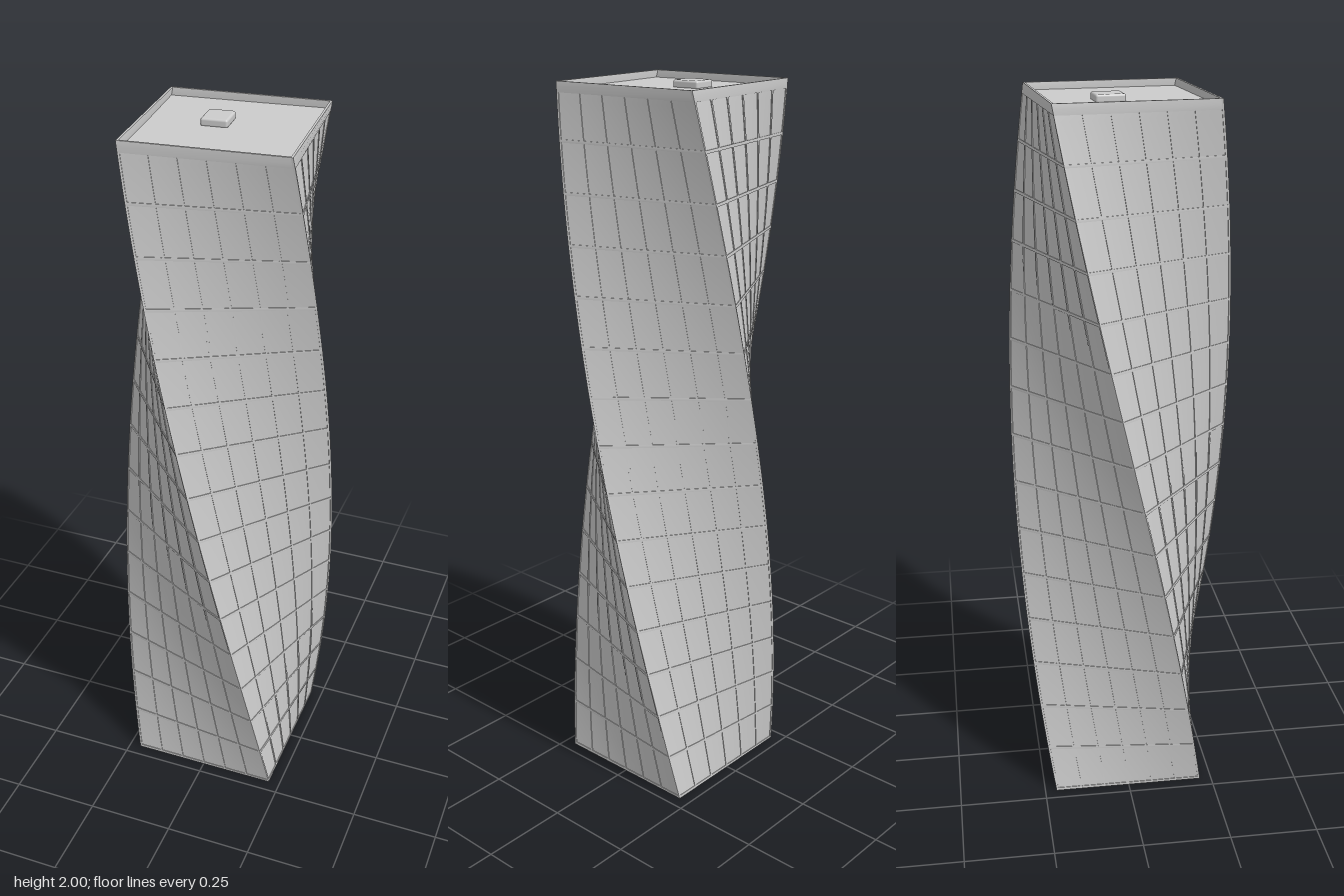
import * as THREE from 'three';
import { RoundedBoxGeometry } from 'three/addons/geometries/RoundedBoxGeometry.js';

const HEIGHT = 2;
const ROOF = 1.98;
const TWIST = THREE.MathUtils.degToRad(85);
const WALL = 0.2145; // half width of the wall
const OUTER = 0.2165; // half width over ribs and floor bands
const FLOORS = 15;
const PANELS = 6;

const material = new THREE.MeshStandardMaterial({ color: 0xcccccc });

// Turns every vertex about the vertical axis in proportion to its height
function twist(geometry) {
  const p = geometry.attributes.position;
  for (let i = 0; i < p.count; i++) {
    const x = p.getX(i), z = p.getZ(i);
    const a = TWIST * p.getY(i) / HEIGHT;
    p.setX(i, x * Math.cos(a) - z * Math.sin(a));
    p.setZ(i, x * Math.sin(a) + z * Math.cos(a));
  }
  geometry.computeVertexNormals();
  return geometry;
}

function twistedBox(name, [w, h, d], [x, y, z], rows = 1, columns = 1, turn = 0) {
  const geometry = new THREE.BoxGeometry(w, h, d, columns, rows, columns);
  geometry.translate(x, y, z).rotateY(turn);
  const mesh = new THREE.Mesh(twist(geometry), material);
  mesh.name = name;
  return mesh;
}

export function createModel() {
  const tower = new THREE.Group();
  tower.name = 'twistedTower';

  // Main shaft with the recessed roof as its top
  tower.add(twistedBox('shaft', [2 * WALL, ROOF, 2 * WALL], [0, ROOF / 2, 0], 90, PANELS));

  // Thin floor bands
  const bands = new THREE.Group();
  bands.name = 'floorBands';
  const thick = 0.008;
  for (let i = 0; i < FLOORS; i++) {
    const y = i * ROOF / FLOORS + thick / 2;
    bands.add(twistedBox('floorBand', [2 * OUTER, thick, 2 * OUTER], [0, y, 0]));
  }
  tower.add(bands);

  // Window mullions, corner posts and parapet on each of the four sides
  const mullions = new THREE.Group();
  mullions.name = 'mullions';
  const parapet = new THREE.Group();
  parapet.name = 'parapet';
  const rib = 0.006;
  for (let side = 0; side < 4; side++) {
    const turn = side * Math.PI / 2;
    for (let i = 1; i < PANELS; i++) {
      const x = WALL * (2 * i / PANELS - 1);
      mullions.add(twistedBox('mullion', [rib, ROOF, rib], [x, ROOF / 2, OUTER - rib / 2], 60, 1, turn));
    }
    const corner = OUTER - rib / 2;
    mullions.add(twistedBox('cornerPost', [rib, ROOF, rib], [corner, ROOF / 2, corner], 60, 1, turn));

    const rimHeight = HEIGHT - ROOF + thick;
    parapet.add(twistedBox('parapetWall', [2 * OUTER - rib, rimHeight, rib],
      [-rib / 2, HEIGHT - rimHeight / 2, OUTER - rib / 2], 2, 1, turn));
  }
  tower.add(mullions, parapet);

  // Small plant box on the roof
  const plant = new THREE.Mesh(new RoundedBoxGeometry(0.08, 0.022, 0.071, 3, 0.006), material);
  plant.name = 'roofPlant';
  plant.position.set(-0.039, ROOF + 0.008, -0.033);
  plant.rotation.y = -TWIST;
  tower.add(plant);

  return tower;
}
